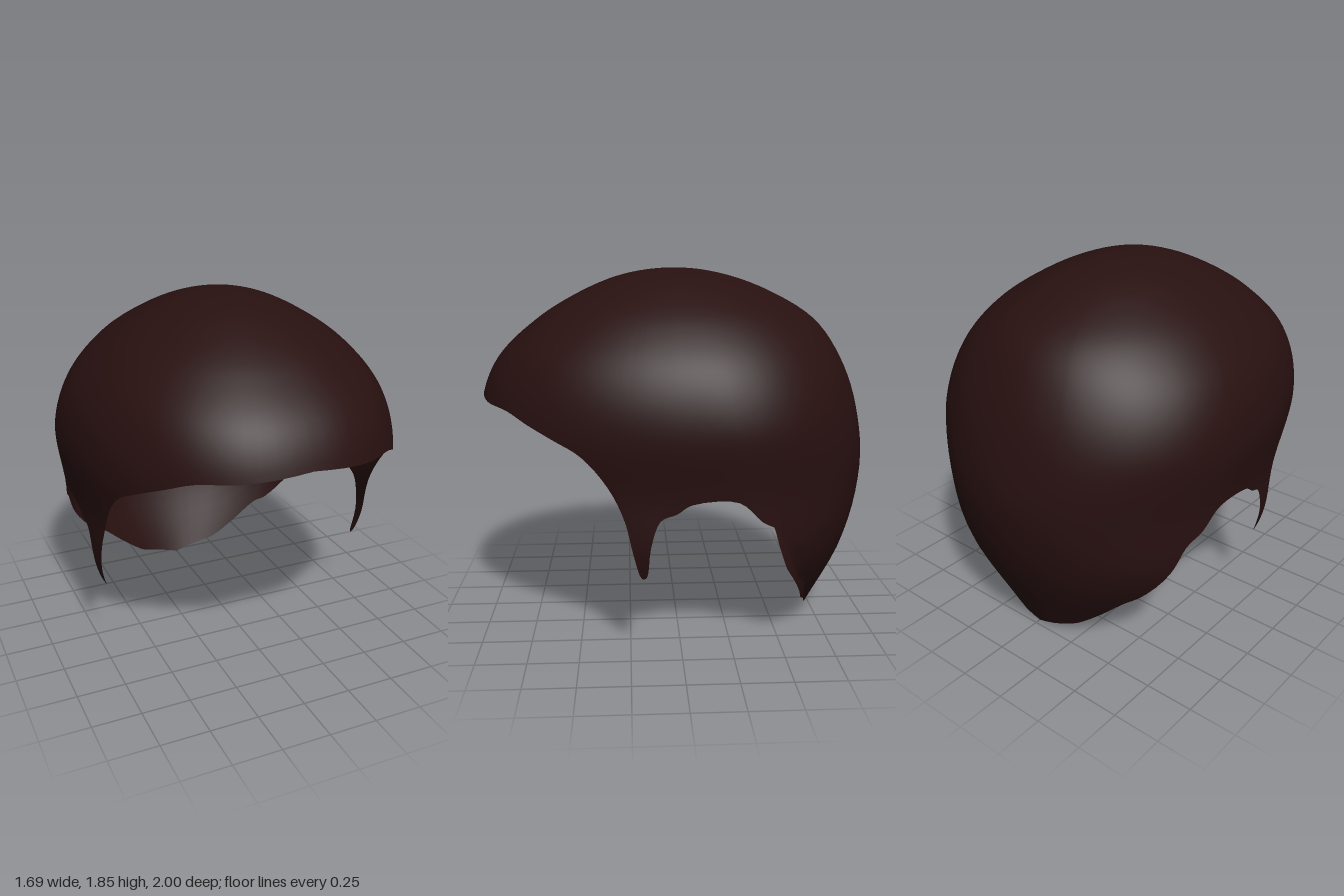
import * as THREE from 'three';

const TOP = 1.85, S_MAX = Math.sqrt(TOP); // s = sqrt(depth below crown)
const ROWS = 40, SUB = 4;

// Horizontal sections, evenly spaced in s: half width, front z, back z
const sections = new THREE.CatmullRomCurve3([
  [0, 0, 0], [0.2, 0.25, -0.24], [0.4, 0.48, -0.49],
  [0.61, 0.72, -0.73], [0.775, 0.93, -0.875], [0.845, 1.02, -0.965],
  [0.808, 1.0, -0.998], [0.77, 0.97, -0.915], [0.46, 0.9, -0.72],
].map(p => new THREE.Vector3(...p)), false, 'catmullrom', 0.5);

function sectionAt(s) {
  const v = sections.getPoint(Math.min(s / S_MAX, 1));
  return { w: v.x, zf: v.y, zb: v.z, zc: -0.15 * Math.min(1, (s / 0.85) ** 2) };
}

// Point on the cap at angle phi (0 = front, PI = back)
function capPoint(phi, s, side) {
  const { w, zf, zb, zc } = sectionAt(s);
  const c = Math.cos(phi), n = c > 0 ? 2.2 : 2;
  const x = w * Math.pow(Math.max(0, 1 - Math.abs(c) ** n), 1 / n);
  return [side * x, TOP - s * s, zc + c * (c > 0 ? zf - zc : zc - zb)];
}

// Hairline from brow, round the sideburn and ear, to the nape: z, y
const hairline = [
  [1.1, 1.23], [0.95, 1.2], [0.83, 1.185], [0.72, 1.135], [0.6, 1.08], [0.47, 1.01],
  [0.35, 0.87], [0.27, 0.7], [0.235, 0.55], [0.195, 0.415], [0.17, 0.425],
  [0.152, 0.58], [0.11, 0.71], [0.03, 0.75], [-0.04, 0.795], [-0.26, 0.8],
  [-0.37, 0.7], [-0.46, 0.64], [-0.52, 0.5], [-0.59, 0.345], [-0.63, 0.3],
  [-0.66, 0.18], [-0.682, 0.09], [-0.7, 0.06], [-0.9, 0],
];

function hairlineCurve() {
  return new THREE.CatmullRomCurve3(hairline.map(([z, y]) => {
    const s = Math.sqrt(TOP - y), { zf, zb, zc } = sectionAt(s);
    const c = (z - zc) / (z > zc ? zf - zc : zc - zb);
    return new THREE.Vector3(Math.acos(THREE.MathUtils.clamp(c, -1, 1)), s, 0);
  }));
}

function capGeometry() {
  // Columns run once round the head; the right half mirrors the left
  const count = (hairline.length - 1) * SUB, curve = hairlineCurve(), columns = [];
  for (let i = 0; i <= count; i++) {
    const p = curve.getPoint(i / count);
    columns.push({ phi: THREE.MathUtils.clamp(p.x, 0, Math.PI), s: Math.min(p.y, S_MAX), side: 1 });
  }
  for (let i = count - 1; i > 0; i--) columns.push({ ...columns[i], side: -1 });

  const pos = [0, TOP, 0], index = [], n = columns.length;
  const id = (row, col) => 1 + (row - 1) * n + (col % n);
  for (let r = 1; r <= ROWS; r++)
    for (const { phi, s, side } of columns) pos.push(...capPoint(phi, s * r / ROWS, side));
  for (let j = 0; j < n; j++) {
    index.push(0, id(1, j), id(1, j + 1));
    for (let r = 1; r < ROWS; r++) {
      const a = id(r, j), b = id(r + 1, j), c = id(r + 1, j + 1), d = id(r, j + 1);
      index.push(a, b, c, a, c, d);
    }
  }
  const g = new THREE.BufferGeometry();
  g.setAttribute('position', new THREE.Float32BufferAttribute(pos, 3));
  g.setIndex(index);
  g.computeVertexNormals();
  return g;
}

export function createModel() {
  const group = new THREE.Group();
  group.name = 'hairpiece';
  const hair = new THREE.MeshStandardMaterial({ color: 0x281010, side: THREE.DoubleSide });
  hair.name = 'dark brown hair';
  const cap = new THREE.Mesh(capGeometry(), hair);
  cap.name = 'hairCap';
  group.add(cap);
  return group;
}
